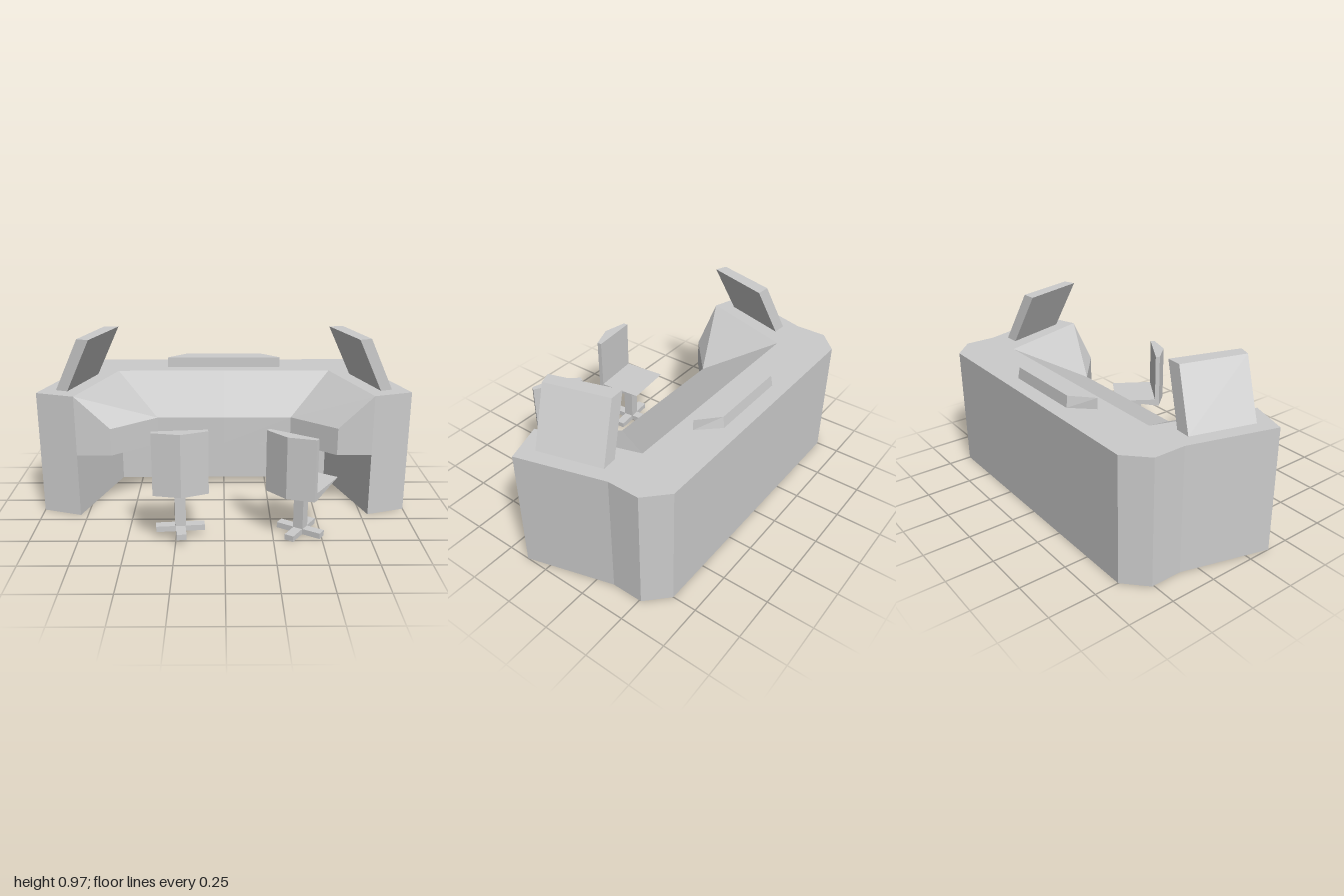
import * as THREE from 'three';
import { ConvexGeometry } from 'three/addons/geometries/ConvexGeometry.js';

const material = new THREE.MeshStandardMaterial({ color: 0xcccccc, flatShading: true });

function part(name, geometry, parent) {
  const mesh = new THREE.Mesh(geometry, material);
  mesh.name = name;
  parent.add(mesh);
  return mesh;
}

// Flat-faced skin through rings of equal point count; faces are turned outward by signed volume
function loft(rings, capEnd = true) {
  const tris = [];
  const n = rings[0].length;
  for (let i = 0; i < rings.length - 1; i++) {
    const a = rings[i], b = rings[i + 1];
    for (let j = 0; j < n; j++) {
      const k = (j + 1) % n;
      tris.push([a[j], b[k], b[j]], [a[j], a[k], b[k]]);
    }
  }
  const last = rings[rings.length - 1];
  for (let j = 1; j < n - 1; j++) {
    tris.push([rings[0][0], rings[0][j + 1], rings[0][j]]);
    if (capEnd) tris.push([last[0], last[j], last[j + 1]]);
  }
  let volume = 0;
  const v = tris.map(t => t.map(p => new THREE.Vector3(...p)));
  for (const [p, q, r] of v) volume += p.dot(q.clone().cross(r));
  const points = v.flatMap(([p, q, r]) => (volume < 0 ? [p, r, q] : [p, q, r]));
  const geometry = new THREE.BufferGeometry().setFromPoints(points);
  geometry.computeVertexNormals();
  return geometry;
}

// Plan outline [x, z] placed at height y, optionally mirrored
const level = (outline, y, side = 1) => outline.map(([x, z]) => [x * side, y, z]);

function createDesk() {
  const desk = new THREE.Group();
  desk.name = 'desk';

  // U-shaped body: back wall and two legs
  const half = [[0.62, -0.34], [0.79, 0.195], [1, 0.125], [0.865, -0.34], [0.865, -0.51], [0.75, -0.62]];
  const outline = [...half, ...half.map(([x, z]) => [-x, z]).reverse()];
  const shape = new THREE.Shape(outline.map(([x, z]) => new THREE.Vector2(x, -z)));
  const body = new THREE.ExtrudeGeometry(shape, { depth: 0.68, bevelEnabled: false });
  part('deskBody', body.rotateX(-Math.PI / 2), desk);

  for (const side of [1, -1]) {
    const name = side > 0 ? 'left' : 'right';

    // Sloped console: sections of inner edge and lip at the end, corner and middle
    const stations = [
      [[0.79, 0.195], [0.605, 0.195]],
      [[0.62, -0.34], [0.37, 0]],
      [[0, -0.34], [0, 0]],
    ];
    const rings = stations.map(([[ix, iz], [lx, lz]]) => [
      [ix * side, 0.68, iz], [lx * side, 0.5, lz],
      [lx * side, 0.35, lz], [ix * side, 0.35, iz],
    ]);
    part(name + 'Console', loft(rings, false), desk);

    // Screen leaning in over the console
    const foot = [[0.81, -0.27], [0.905, 0.07], [0.84, 0.095], [0.73, -0.265]];
    const head = foot.map(([x, z]) => [x - 0.137, z + 0.055]);
    part(name + 'Screen', loft([level(foot, 0.68, side), level(head, 0.97, side)]), desk);
  }

  // Low raised box along the back
  const low = [[-0.335, -0.425], [0.335, -0.425], [0.23, -0.535], [-0.23, -0.535]];
  const high = [[-0.335, -0.425], [0.335, -0.425], [0.225, -0.525], [-0.225, -0.525]];
  part('rearBox', loft([level(low, 0.68), level(high, 0.74)]), desk);
  return desk;
}

function createChair(name) {
  const chair = new THREE.Group();
  chair.name = name;
  const w = 0.138, d = 0.122, postZ = 0.018, s = 0.0275;

  // Backrest with a flat front and a shallow V behind
  const back = [[-w, d], [w, d], [w, d + 0.025], [0, d + 0.066], [-w, d + 0.025]];
  part('backrest', loft([level(back, 0.25), level(back, 0.575)]), chair);

  // Seat tapering down to the post
  const top = [[-w, -d], [w, -d], [w, d], [-w, d]];
  const post = [[-s, postZ - s], [s, postZ - s], [s, postZ + s], [-s, postZ + s]];
  const seatPoints = [...level(top, 0.29), ...level(back, 0.25), ...level(post, 0.23)];
  part('seat', new ConvexGeometry(seatPoints.map(p => new THREE.Vector3(...p))), chair);

  // Post and crossed feet
  part('post', new THREE.BoxGeometry(2 * s, 0.205, 2 * s), chair).position.set(0, 0.1275, postZ);
  const feet = [];
  const a = 0.125, b = 0.025;
  for (const [x, z] of [[b, -a], [b, -b], [a, -b], [a, b], [b, b], [b, a],
    [-b, a], [-b, b], [-a, b], [-a, -b], [-b, -b], [-b, -a]]) feet.push(new THREE.Vector2(x, z));
  const cross = new THREE.ExtrudeGeometry(new THREE.Shape(feet), { depth: 0.03, bevelEnabled: false });
  part('crossFeet', cross.rotateX(-Math.PI / 2), chair).position.z = postZ;
  return chair;
}

export function createModel() {
  const model = new THREE.Group();
  model.name = 'controlDesk';
  model.add(createDesk());

  const leftChair = createChair('leftChair');
  leftChair.position.set(0.406, 0, 0.38);
  leftChair.rotation.y = -0.575;

  const rightChair = createChair('rightChair');
  rightChair.position.set(-0.23, 0.04, 0.425);
  rightChair.rotation.y = 0.095;

  model.add(leftChair, rightChair);
  return model;
}
